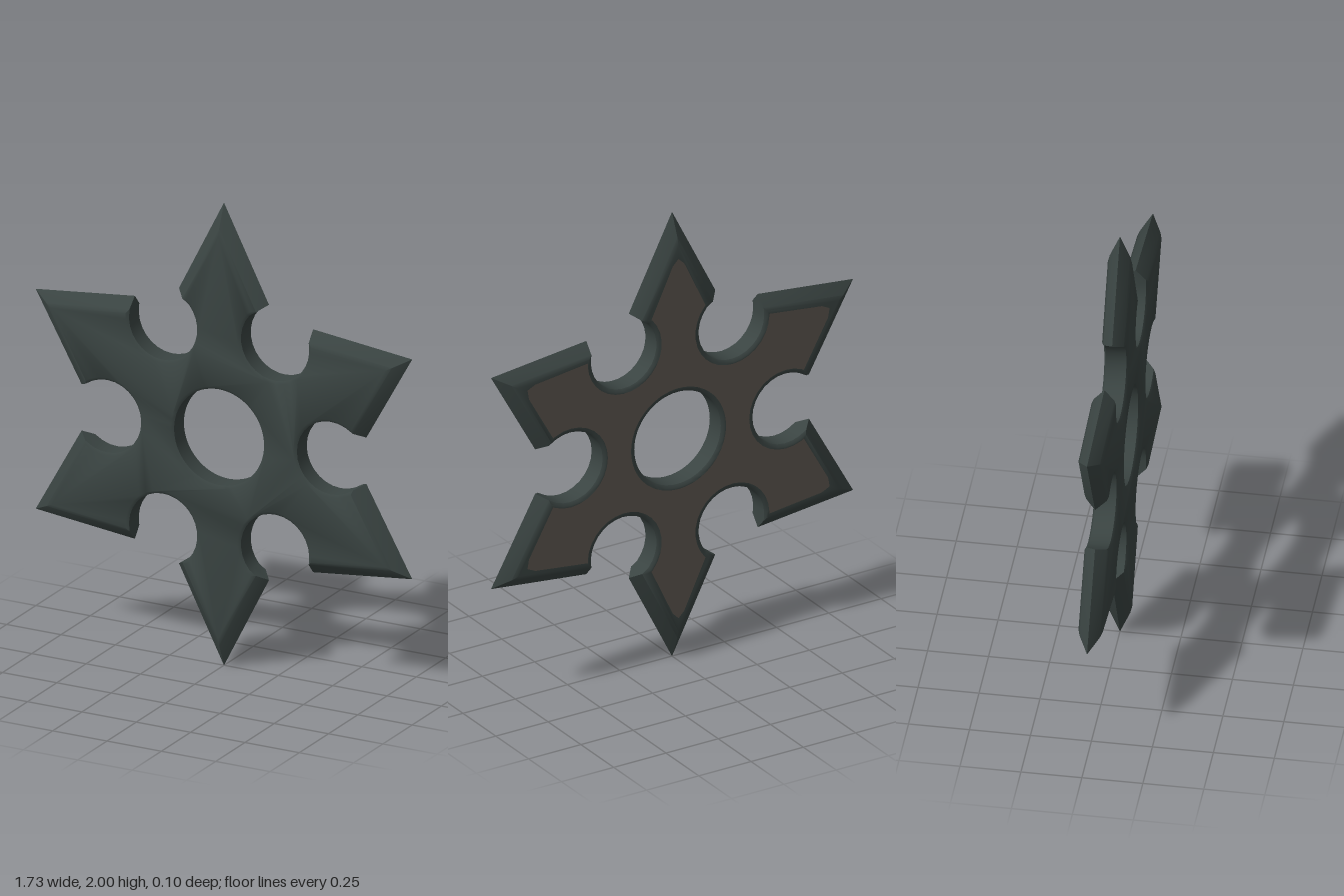
import * as THREE from 'three';
import { mergeGeometries, toCreasedNormals } from 'three/addons/utils/BufferGeometryUtils.js';

const V = (x, y) => new THREE.Vector2(x, y);
const NOTCH_R = 0.157, NOTCH_DIST = 0.515, HOLE_R = 0.207;
const LEAD = Math.PI / 6; // straight lead-in from each blade corner to the notch arc
const ARC_STEPS = 18, HOLE_STEPS = 64;

// Three arms, clockwise: [corner, tip, corner]; the others are these turned by 180 degrees
const half = [
  [V(-0.207, 0.595), V(0, 1), V(0.207, 0.595)],
  [V(0.41, 0.525), V(0.866, 0.475), V(0.655, 0.1)],
  [V(0.655, -0.1), V(0.866, -0.475), V(0.41, -0.525)],
];
const arms = [...half, ...half.map((arm) => arm.map((p) => p.clone().negate()))];

// Centre of the notch that follows arm k
function notchCentre(k) {
  const a = Math.PI / 3 * (1 - k);
  return V(Math.cos(a), Math.sin(a)).multiplyScalar(NOTCH_DIST);
}

// Corner moved along the notch wall until it lies "inset" inside the blade edge
function trimCorner(corner, tip, centre, turn, inset, grow) {
  const angle = corner.clone().sub(centre).angle() + turn * LEAD;
  const start = V(Math.cos(angle), Math.sin(angle)).multiplyScalar(NOTCH_R).add(centre);
  const edge = tip.clone().sub(corner).normalize();
  const depth = Math.abs(edge.cross(start.clone().sub(corner)));
  const point = corner.clone().lerp(start, inset / depth);
  point.add(point.clone().sub(centre).setLength(grow));
  return { point, angle };
}

// Clockwise star outline: blade edges inset, notches grown, tips blunted
function starRing(inset, grow, blunt) {
  const points = [];
  arms.forEach(([a, tip, b], k) => {
    const next = arms[(k + 1) % 6], centre = notchCentre(k);
    const left = trimCorner(a, tip, notchCentre(k - 1), -1, inset, grow);
    const right = trimCorner(b, tip, centre, 1, inset, grow);
    const end = trimCorner(next[0], next[1], centre, -1, inset, grow);
    const u = a.clone().sub(tip).normalize(), v = b.clone().sub(tip).normalize();
    const t = tip.clone().addScaledVector(u.clone().add(v), inset / Math.abs(u.cross(v)));
    points.push(left.point, t.clone().addScaledVector(u, blunt),
      t.clone().addScaledVector(u, blunt / 4).addScaledVector(v, blunt / 4),
      t.clone().addScaledVector(v, blunt), right.point);
    let sweep = end.angle - right.angle;
    while (sweep < 0) sweep += 2 * Math.PI;
    for (let i = 0; i <= ARC_STEPS; i++) {
      const q = right.angle + sweep * i / ARC_STEPS;
      points.push(V(Math.cos(q), Math.sin(q)).multiplyScalar(NOTCH_R + grow).add(centre));
    }
  });
  return points;
}

// Counter-clockwise outline of the central hole
function holeRing(grow) {
  return Array.from({ length: HOLE_STEPS }, (_, i) => {
    const a = i / HOLE_STEPS * 2 * Math.PI;
    return V(Math.cos(a), Math.sin(a)).multiplyScalar(HOLE_R + grow);
  });
}

// Band of quads joining two matching outlines
function band(front, zf, back, zb) {
  const pos = [];
  front.forEach((f, i) => {
    const j = (i + 1) % front.length, f2 = front[j], b = back[i], b2 = back[j];
    pos.push(f.x, f.y, zf, f2.x, f2.y, zf, b.x, b.y, zb);
    pos.push(f2.x, f2.y, zf, b2.x, b2.y, zb, b.x, b.y, zb);
  });
  const g = new THREE.BufferGeometry();
  g.setAttribute('position', new THREE.Float32BufferAttribute(pos, 3));
  g.computeVertexNormals();
  return g;
}

// Flat face with the central hole cut out
function cap(level) {
  const shape = new THREE.Shape(level.star);
  shape.holes.push(new THREE.Path(level.hole));
  const g = new THREE.ShapeGeometry(shape).toNonIndexed();
  g.deleteAttribute('uv');
  return g;
}

export function createModel() {
  const darkSteel = new THREE.MeshStandardMaterial({ color: 0x3a4442 });
  darkSteel.name = 'dark steel';
  const brownSteel = new THREE.MeshStandardMaterial({ color: 0x5a534c });
  brownSteel.name = 'brown steel';

  // Cross-sections from front to back: blade inset, rim growth, z, tip blunting
  const levels = [
    [0.06, 0.012, 0.05, 0.001],
    [0.045, 0, 0.042, 0.001],
    [0, 0, 0, 0.001],
    [0.045, 0, -0.042, 0.001],
    [0.06, 0.012, -0.05, 0.001],
    [0.075, 0.02, -0.05, 0.06],
  ].map(([inset, grow, z, blunt]) => ({
    star: starRing(inset, grow, blunt), hole: holeRing(grow), z,
  }));

  // Dark body: front face, sharpened edges, notch walls and hole wall
  const parts = [cap(levels[0]).translate(0, 0, levels[0].z)];
  for (let i = 0; i < levels.length - 1; i++) {
    const f = levels[i], b = levels[i + 1];
    parts.push(band(f.star, f.z, b.star, b.z), band(f.hole, f.z, b.hole, b.z));
  }
  const body = new THREE.Mesh(toCreasedNormals(mergeGeometries(parts), 0.7), darkSteel);
  body.name = 'starBody';

  // Brown back face
  const last = levels[levels.length - 1];
  const back = new THREE.Mesh(cap(last).rotateY(Math.PI).translate(0, 0, last.z), brownSteel);
  back.name = 'backFace';

  const group = new THREE.Group();
  group.name = 'throwingStar';
  group.add(body, back);
  group.children.forEach((m) => { m.position.y = 1; });
  return group;
}
